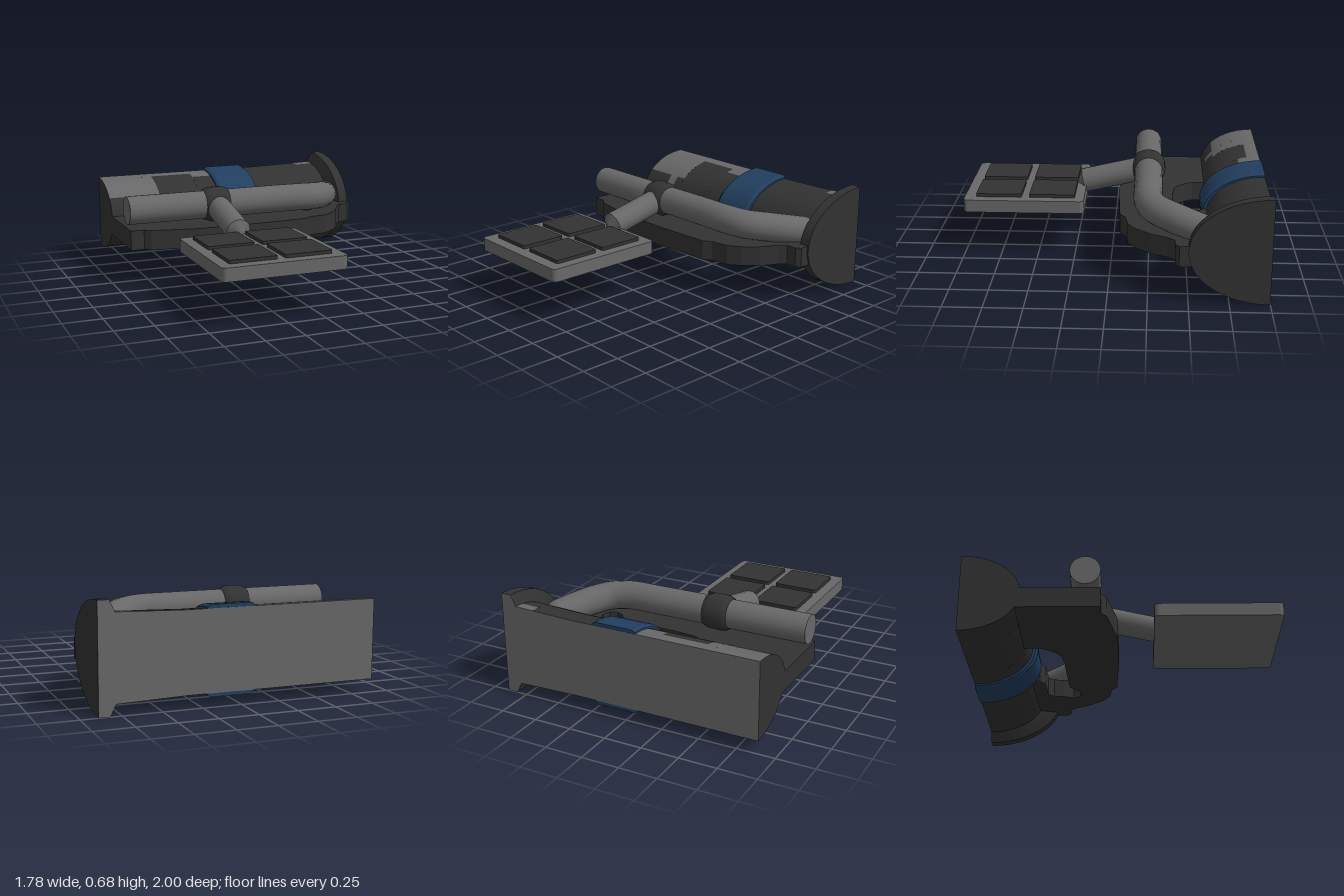
import * as THREE from 'three';

const paint = (name, color) => Object.assign(new THREE.MeshStandardMaterial({ color }), { name });

export function createModel() {
  const dark = paint('charcoal', 0x323232);
  const gray = paint('mid gray', 0x686868);
  const blue = paint('navy blue', 0x223f60);
  const model = new THREE.Group();
  const BACK = -1, MID = 0.343;

  const add = (name, geometry, material, parent = model) => {
    const mesh = new THREE.Mesh(geometry, material);
    mesh.name = name;
    parent.add(mesh);
    return mesh;
  };
  const group = (name) => {
    const g = new THREE.Group();
    g.name = name;
    model.add(g);
    return g;
  };

  // Half-elliptical strip between two sections [x, half height, depth]
  const strip = (a, b, t0, t1, steps = 24) => {
    const pos = [], index = [];
    for (let j = 0; j <= steps; j++) {
      const f = j / steps;
      for (const [k, [x, h, d]] of [a, b].entries()) {
        const t = t0[k] + (t1[k] - t0[k]) * f;
        pos.push(x, MID + h * Math.sin(t), BACK + d * Math.cos(t));
      }
      if (j < steps) {
        const i = j * 2;
        index.push(i, i + 1, i + 3, i, i + 3, i + 2);
      }
    }
    const g = new THREE.BufferGeometry();
    g.setAttribute('position', new THREE.Float32BufferAttribute(pos, 3));
    g.setIndex(index);
    g.computeVertexNormals();
    return g;
  };
  const H = Math.PI / 2;

  // D-shaped end cap, facing +x or -x
  const endCap = ([x, h, d], facing) => {
    const s = new THREE.Shape();
    s.absellipse(0, 0, d, h, -H, H, false);
    const g = new THREE.ShapeGeometry(s, 24);
    if (facing > 0) g.scale(-1, 1, 1).rotateY(H).translate(x, MID, BACK);
    else g.rotateY(-H).scale(1, 1, 1).translate(x, MID, -BACK);
    // place every cap explicitly so that depth runs towards the front
    const p = g.attributes.position, src = new THREE.ShapeGeometry(s, 24);
    const q = src.attributes.position;
    for (let i = 0; i < p.count; i++) p.setXYZ(i, x, MID + q.getY(i), BACK + q.getX(i));
    const idx = Array.from(src.index.array);
    g.setIndex(facing > 0 ? idx.reverse() : idx);
    g.computeVertexNormals();
    return g;
  };

  // Flat back plate following the sections' half heights
  const backPlate = (sections, z) => {
    const top = sections.map(([x, h]) => new THREE.Vector2(-x, MID + h));
    const low = sections.map(([x, h]) => new THREE.Vector2(-x, MID - h)).reverse();
    return new THREE.ShapeGeometry(new THREE.Shape([...top, ...low])).rotateY(Math.PI).translate(0, 0, z);
  };

  // Half-round body with a flared end
  const sections = [[-0.89, 0.255, 0.372], [0.35, 0.255, 0.376], [0.785, 0.268, 0.388],
    [0.82, 0.34, 0.505], [0.89, 0.34, 0.505]];
  const at = (x) => {
    const i = Math.max(1, sections.findIndex((s) => s[0] >= x));
    const a = sections[i - 1], b = sections[i], f = (x - a[0]) / (b[0] - a[0]);
    return [x, a[1] + (b[1] - a[1]) * f, a[2] + (b[2] - a[2]) * f];
  };
  // Each column: end x and the z where its gray upper patch stops
  const columns = [[-0.66, -0.7], [-0.59, -0.65], [-0.52, -0.7], [-0.22, -0.915], [-0.08, -0.855],
    [0.35], [0.66], [0.785, -0.93], [0.82], [0.89]];
  const body = group('body');
  let x0 = -0.89;
  for (const [x1, limit] of columns) {
    const a = at(x0), b = at(x1);
    const split = [a, b].map((s) => (limit === undefined ? H : Math.acos((limit - BACK) / s[2])));
    add('bodyShell', strip(a, b, [-H, -H], split), dark, body);
    if (limit !== undefined) add('bodyPatch', strip(a, b, split, [H, H], 12), gray, body);
    x0 = x1;
  }
  add('bodyEndRight', endCap(sections[0], -1), dark, body);
  add('bodyEndLeft', endCap(sections[4], 1), dark, body);
  add('bodyBack', backPlate(sections, BACK), gray, body);

  // Chamfered band around the body
  const band = group('band');
  const ring = [[-0.08, 0.25, 0.37], [-0.08, 0.265, 0.395], [-0.06, 0.278, 0.41],
    [0.2, 0.278, 0.41], [0.222, 0.265, 0.395], [0.222, 0.25, 0.37]];
  for (let i = 1; i < ring.length; i++) {
    add('bandFace', strip(ring[i - 1], ring[i], [-H, -H], [H, H]), blue, band);
  }
  add('bandBack', backPlate(ring.slice(1, 5), BACK + 0.002), blue, band);

  // Flat lower frame with an opening, drawn as x and z
  const outline = [[-0.89, -0.8], [-0.89, -0.14], [-0.8, -0.14], [-0.76, -0.105], [-0.45, -0.042],
    [-0.05, -0.042], [0.35, -0.062], [0.4, -0.1], [0.52, -0.118], [0.6, -0.17], [0.68, -0.26],
    [0.74, -0.37], [0.78, -0.415], [0.85, -0.415], [0.88, -0.44], [0.88, -0.8]];
  const opening = [[-0.3, -0.72], [-0.3, -0.55], [-0.27, -0.5], [-0.22, -0.445], [-0.17, -0.42],
    [-0.05, -0.408], [0.34, -0.398], [0.4, -0.36], [0.42, -0.33], [0.47, -0.31], [0.52, -0.33],
    [0.54, -0.38], [0.515, -0.45], [0.51, -0.52], [0.47, -0.56], [0.28, -0.565], [0.23, -0.6], [0.23, -0.72]];
  const flat = (pts) => pts.map(([x, z]) => new THREE.Vector2(x, -z));
  const frameShape = new THREE.Shape(flat(outline));
  frameShape.holes.push(new THREE.Path(flat(opening)));
  add('lowerFrame', new THREE.ExtrudeGeometry(frameShape, { depth: 0.132, bevelEnabled: false })
    .rotateX(-H).translate(0, 0.243, 0), dark);

  // Round rail that bends back into the body
  const rail = group('rail');
  const path = new THREE.CatmullRomCurve3([[-0.89, 0.495, -0.235], [-0.3, 0.495, -0.24], [0.15, 0.495, -0.245],
    [0.4, 0.493, -0.25], [0.52, 0.483, -0.29], [0.62, 0.465, -0.4], [0.74, 0.425, -0.6]]
    .map((p) => new THREE.Vector3(...p)));
  add('railTube', new THREE.TubeGeometry(path, 60, 0.096, 20), gray, rail);
  add('railEnd', new THREE.CircleGeometry(0.096, 20).rotateY(-H).translate(-0.89, 0.495, -0.235), gray, rail);
  add('railTip', new THREE.SphereGeometry(0.096, 20, 14).translate(0.74, 0.425, -0.6), gray, rail);

  // Rounded clamp on the rail
  const clamp = [[0.09, -0.088], [0.104, -0.085], [0.118, -0.045], [0.118, 0.045], [0.104, 0.085], [0.09, 0.088]]
    .map(([r, y]) => new THREE.Vector2(r, y));
  add('clamp', new THREE.LatheGeometry(clamp, 20).rotateZ(H).translate(-0.262, 0.495, -0.24), dark);

  // Sloping arm with a pointed tip
  const arm = group('arm');
  add('armTube', new THREE.CylinderGeometry(0.083, 0.083, 0.42, 18).translate(0, 0.21, 0), gray, arm);
  add('armTip', new THREE.ConeGeometry(0.083, 0.048, 18).translate(0, 0.444, 0), gray, arm);
  arm.position.set(-0.262, 0.49, -0.2);
  arm.rotation.x = H + 0.228;

  // Rounded slab helper, lying flat
  const slab = (x, z, w, r, y, height) => {
    const s = new THREE.Shape(), a = w / 2, c = a - r;
    s.absarc(c, c, r, 0, H);
    s.absarc(-c, c, r, H, 2 * H);
    s.absarc(-c, -c, r, 2 * H, 3 * H);
    s.absarc(c, -c, r, 3 * H, 4 * H);
    return new THREE.ExtrudeGeometry(s, { depth: height, bevelEnabled: false, curveSegments: 4 })
      .rotateX(-H).translate(x, y, z);
  };

  // Tray with four square pads
  const tray = group('tray');
  add('trayBase', slab(-0.26, 0.595, 0.81, 0.03, 0.295, 0.085), gray, tray);
  for (const x of [-0.44, -0.08]) {
    for (const z of [0.408, 0.768]) add('trayPad', slab(x, z, 0.308, 0.012, 0.375, 0.027), dark, tray);
  }
  return model;
}
